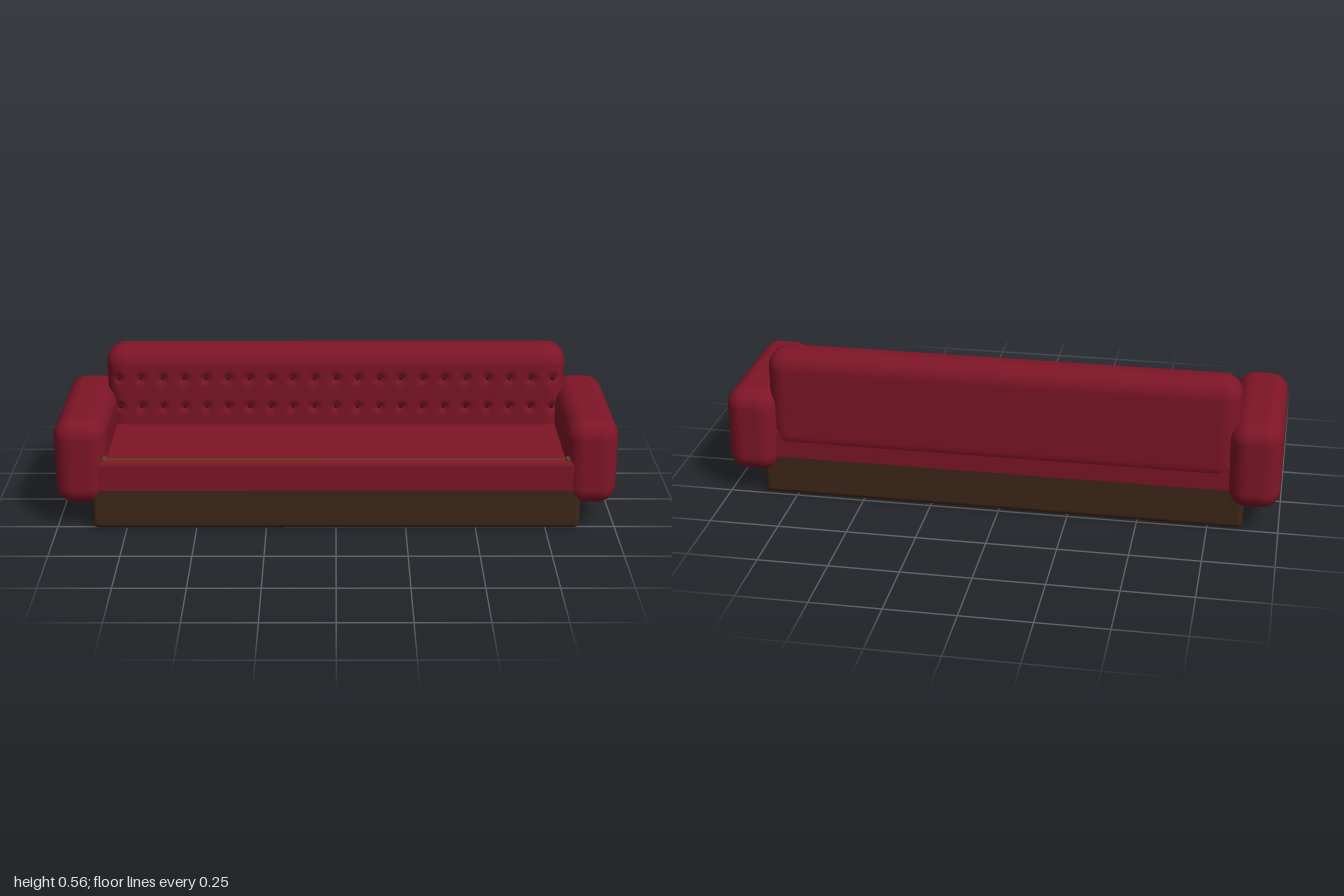
import * as THREE from 'three';
import { RoundedBoxGeometry } from 'three/addons/geometries/RoundedBoxGeometry.js';
import { mergeVertices } from 'three/addons/utils/BufferGeometryUtils.js';

const red = new THREE.MeshStandardMaterial({ color: 0x7d1526 });
const brown = new THREE.MeshStandardMaterial({ color: 0x3d2616 });
const olive = new THREE.MeshStandardMaterial({ color: 0x57431c });
const darkRed = new THREE.MeshStandardMaterial({ color: 0x4a0d18 });

// Rounded box placed by its minimum and maximum corners
function roundedBox([x0, y0, z0], [x1, y1, z1], radius) {
  return new RoundedBoxGeometry(x1 - x0, y1 - y0, z1 - z0, 6, radius)
    .translate((x0 + x1) / 2, (y0 + y1) / 2, (z0 + z1) / 2);
}

// Slice of the sofa body between two heights
function bodySlice(low, high, radius) {
  const geometry = roundedBox([-0.873, 0, -0.247], [0.873, 0.262, 0.273], radius);
  const pos = geometry.attributes.position;
  for (let i = 0; i < pos.count; i++) {
    pos.setY(i, THREE.MathUtils.clamp(pos.getY(i), low, high));
  }
  return geometry;
}

// Finely divided rounded cushion with dimples pressed into its front
function tuftedCushion(size, radius, tufts) {
  let geometry = new THREE.BoxGeometry(size.x, size.y, size.z, 210, 48, 18);
  geometry.deleteAttribute('normal');
  geometry.deleteAttribute('uv');
  geometry = mergeVertices(geometry);
  const pos = geometry.attributes.position;
  const limit = size.clone().multiplyScalar(0.5).subScalar(radius);
  const p = new THREE.Vector3();
  const core = new THREE.Vector3();
  for (let i = 0; i < pos.count; i++) {
    p.fromBufferAttribute(pos, i);
    core.copy(p).clamp(limit.clone().negate(), limit);
    p.sub(core).setLength(radius).add(core);
    if (p.z > size.z / 2 - radius * 0.5) {
      for (const t of tufts) {
        const d2 = (p.x - t.x) ** 2 + (p.y - t.y) ** 2;
        if (d2 < 0.002) p.z -= 0.014 * Math.exp(-d2 / 0.00022);
      }
    }
    pos.setXYZ(i, p.x, p.y, p.z);
  }
  geometry.computeVertexNormals();
  return geometry;
}

export function createModel() {
  const sofa = new THREE.Group();
  sofa.name = 'sofa';
  const add = (name, geometry, material, parent = sofa) => {
    const mesh = new THREE.Mesh(geometry, material);
    mesh.name = name;
    parent.add(mesh);
    return mesh;
  };

  // Base and seat
  add('base', bodySlice(0, 0.15, 0.022), brown);
  add('seat', bodySlice(0.15, 0.262, 0.022), red);

  // Piping along the front edge of the seat, with a knot at each end
  const piping = new THREE.Group();
  piping.name = 'seatPiping';
  sofa.add(piping);
  add('pipingCord', new THREE.CylinderGeometry(0.005, 0.005, 1.66, 8)
    .rotateZ(Math.PI / 2).translate(0, 0.261, 0.253), olive, piping);

  // Armrests
  for (const side of [-1, 1]) {
    const name = side > 0 ? 'left' : 'right';
    const arm = add(name + 'Armrest', roundedBox([-0.093, 0.09, -0.284], [0.093, 0.408, 0.284], 0.066), red);
    arm.position.x = side * 0.907;
    add(name + 'PipingKnot', new THREE.SphereGeometry(0.012, 10, 8)
      .translate(side * 0.822, 0.262, 0.253), olive, piping);
  }

  // Tufted backrest
  const size = new THREE.Vector3(1.696, 0.385, 0.158);
  const center = new THREE.Vector3(0, 0.3635, -0.173);
  const tufts = [];
  for (const y of [0.33, 0.44]) {
    for (let i = -10; i <= 10; i++) tufts.push(new THREE.Vector2(i * 0.08, y - center.y));
  }
  const back = new THREE.Group();
  back.name = 'back';
  back.position.copy(center);
  sofa.add(back);
  add('backrest', tuftedCushion(size, 0.068, tufts), red, back);

  // Buttons sunk into the dimples
  const buttonGeometry = new THREE.SphereGeometry(0.009, 10, 6).scale(1, 1, 0.5);
  for (const t of tufts) {
    add('button', buttonGeometry, darkRed, back).position.set(t.x, t.y, size.z / 2 - 0.013);
  }
  return sofa;
}
